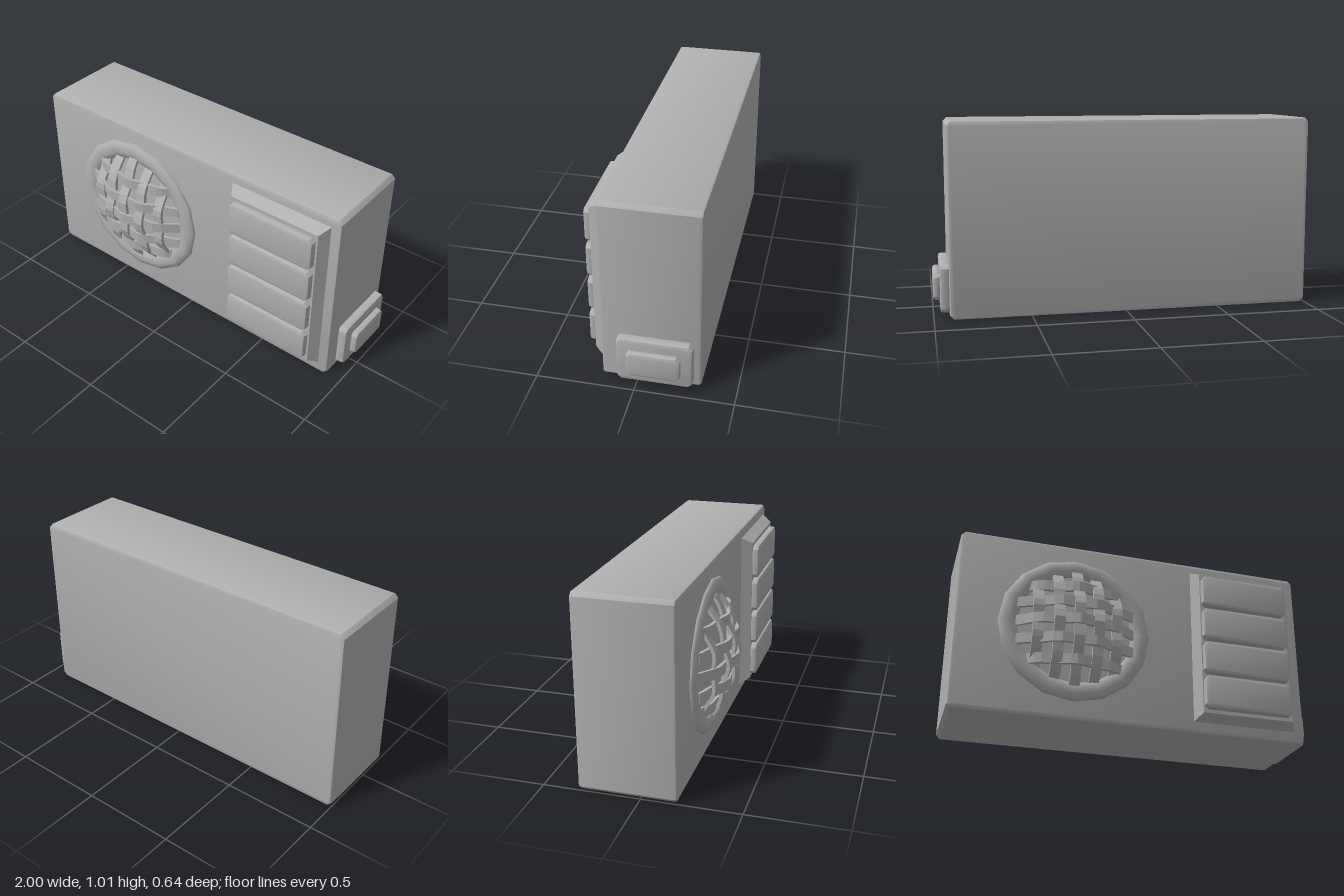
import * as THREE from 'three';
import { toCreasedNormals } from 'three/addons/utils/BufferGeometryUtils.js';

const grey = new THREE.MeshStandardMaterial({ color: 0xb0b0b0 });
grey.name = 'plain grey';

function add(parent, name, geometry, x, y, z) {
  const mesh = new THREE.Mesh(geometry, grey);
  mesh.name = name;
  mesh.position.set(x, y, z);
  parent.add(mesh);
  return mesh;
}

// Rectangle with clipped corners, rising along +z from 0 to depth
function plate(w, h, depth, bevel, rise = bevel, bothEnds = false) {
  const a = w / 2 - bevel, b = h / 2 - bevel, c = 0.012;
  const shape = new THREE.Shape([
    [a - c, -b], [a, -b + c], [a, b - c], [a - c, b],
    [-a + c, b], [-a, b - c], [-a, -b + c], [-a + c, -b],
  ].map(([x, y]) => new THREE.Vector2(x, y)));
  const geometry = new THREE.ExtrudeGeometry(shape, {
    depth: depth - rise * 2, bevelEnabled: true,
    bevelSize: bevel, bevelThickness: rise, bevelSegments: 2,
  });
  geometry.translate(0, 0, rise);
  // Push the lower bevel out to a straight wall unless both ends are bevelled
  if (!bothEnds) {
    const p = geometry.attributes.position;
    for (let i = 0; i < p.count; i++) {
      if (p.getZ(i) < rise * 0.9) {
        p.setX(i, Math.sign(p.getX(i)) * Math.max(Math.abs(p.getX(i)), w / 2 - c));
        p.setY(i, Math.sign(p.getY(i)) * Math.max(Math.abs(p.getY(i)), h / 2 - c));
      }
    }
  }
  return toCreasedNormals(geometry, 0.7);
}

// Truncated pyramid that carries the buttons
function frustum(w, h, depth, inset) {
  const geometry = new THREE.BoxGeometry(w, h, depth);
  const p = geometry.attributes.position;
  for (let i = 0; i < p.count; i++) {
    if (p.getZ(i) > 0) {
      p.setX(i, p.getX(i) * (1 - 2 * inset / w));
      p.setY(i, p.getY(i) * (1 - 2 * inset / h));
    }
  }
  return toCreasedNormals(geometry, 0.4);
}

// Flat strip bent over the dome, weaving over and under its neighbours
const pitch = 0.105, domeRadius = 0.33;
function strip(row, vertical) {
  const offset = row * pitch;
  const half = Math.sqrt(domeRadius ** 2 - offset ** 2);
  const geometry = new THREE.BoxGeometry(half * 2, 0.056, 0.018, 14, 1, 1);
  const p = geometry.attributes.position;
  for (let i = 0; i < p.count; i++) {
    const along = p.getX(i), across = p.getY(i) + offset;
    const dome = 0.305 - 0.12 * (along ** 2 + offset ** 2) / domeRadius ** 2;
    const phase = Math.cos(Math.PI * along / pitch) * (row % 2 ? -1 : 1);
    p.setZ(i, p.getZ(i) + dome + 0.009 * phase * (vertical ? -1 : 1));
    p.setY(i, across);
  }
  // A mirrored swap would flip the faces, so turn the strip instead
  if (vertical) geometry.rotateZ(Math.PI / 2);
  return toCreasedNormals(geometry, 0.15);
}

export function createModel() {
  const model = new THREE.Group();
  model.name = 'radio';

  // Case
  add(model, 'case', plate(1.92, 1.01, 0.5, 0.015, 0.015, true), -0.04, 0.505, -0.32);

  // Round speaker with a woven dome grille
  const speaker = new THREE.Group();
  speaker.name = 'speaker';
  speaker.position.set(-0.37, 0.51, 0);
  model.add(speaker);
  const ring = add(speaker, 'speakerRing', new THREE.TorusGeometry(0.36, 0.05, 10, 16), 0, 0, 0.18);
  ring.scale.z = 0.5;
  for (let row = -2; row <= 2; row++) {
    add(speaker, 'grilleRow', strip(row, false), 0, 0, 0);
    add(speaker, 'grilleColumn', strip(row, true), 0, 0, 0);
  }

  // Raised panel with four wide buttons
  add(model, 'buttonPanel', frustum(0.58, 0.895, 0.056, 0.035), 0.575, 0.51, 0.208);
  for (let i = 0; i < 4; i++) {
    add(model, 'button', plate(0.495, 0.186, 0.05, 0.014), 0.573, 0.21 + i * 0.2, 0.22);
  }

  // Stepped knob on the left side
  const side = new THREE.Group();
  side.name = 'sideSwitch';
  side.position.set(0.91, 0.155, -0.095);
  side.rotation.y = Math.PI / 2;
  model.add(side);
  add(side, 'switchBase', plate(0.38, 0.25, 0.056, 0.014), 0, 0, 0);
  add(side, 'switchCap', plate(0.268, 0.14, 0.04, 0.014), 0, 0, 0.05);

  return model;
}
